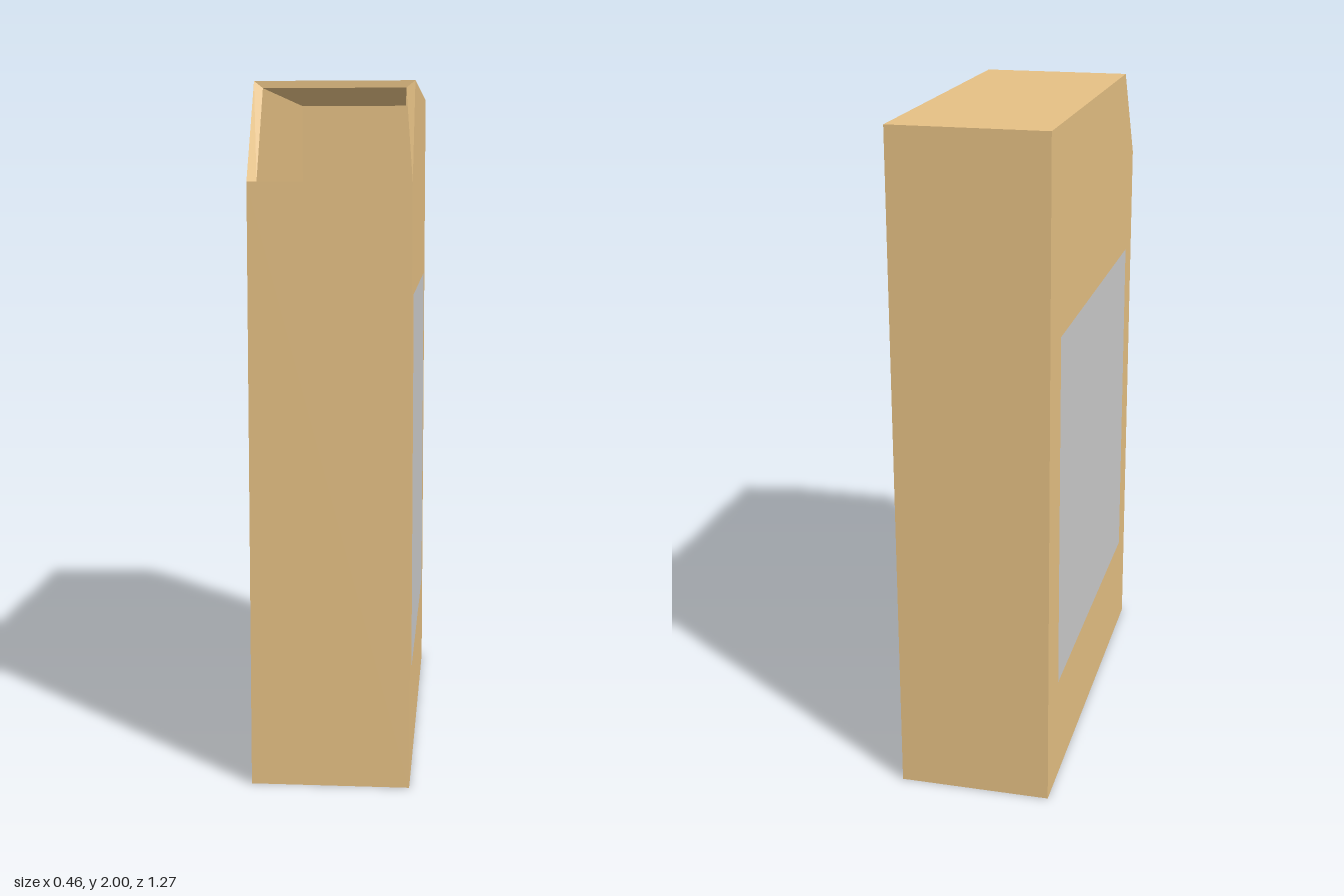
import * as THREE from 'three';

// Profiles as [z, y], from the low lip of the opening round to the high lip
const OUTER = [[0.635, 1.72], [0.635, 0], [-0.635, 0], [-0.635, 2], [0.462, 2]];
const INNER = [[0.615, 1.72], [0.615, 0.02], [-0.615, 0.02], [-0.615, 1.98], [0.462, 1.98]];
const OUTER_HALF = 0.227;
const INNER_HALF = 0.202;

const at = (x, [z, y]) => [x, y, z];

// Flat-shaded surface from a list of convex polygons
function surface(name, polygons, material) {
  const positions = [];
  for (const p of polygons) {
    for (let i = 1; i < p.length - 1; i++) positions.push(...p[0], ...p[i], ...p[i + 1]);
  }
  const geometry = new THREE.BufferGeometry();
  geometry.setAttribute('position', new THREE.Float32BufferAttribute(positions, 3));
  geometry.computeVertexNormals();
  const mesh = new THREE.Mesh(geometry, material);
  mesh.name = name;
  return mesh;
}

// Both sides plus the strip of walls between them, left open at the slanted corner
function shell(profile, half) {
  const left = profile.map((p) => at(half, p));
  const right = profile.map((p) => at(-half, p));
  const polygons = [left, [...right].reverse()];
  for (let i = 0; i < profile.length - 1; i++) {
    polygons.push([right[i], right[i + 1], left[i + 1], left[i]]);
  }
  return polygons;
}

// Four corners of the slanted opening
function lip(profile, half) {
  const low = profile[0];
  const high = profile[profile.length - 1];
  return [at(half, low), at(half, high), at(-half, high), at(-half, low)];
}

export function createModel() {
  const model = new THREE.Group();
  model.name = 'fileBox';
  const card = new THREE.MeshStandardMaterial({ color: 0xe5c084 });
  const grey = new THREE.MeshStandardMaterial({ color: 0xcccccc });

  // Hollow box: outside, inside and the rim joining them
  model.add(surface('outerShell', shell(OUTER, OUTER_HALF), card));
  const inside = shell(INNER, INNER_HALF).map((p) => p.reverse());
  model.add(surface('innerShell', inside, card));
  const outerLip = lip(OUTER, OUTER_HALF);
  const innerLip = lip(INNER, INNER_HALF);
  const rim = outerLip.map((corner, i) => {
    const next = (i + 1) % 4;
    return [corner, outerLip[next], innerLip[next], innerLip[i]];
  });
  model.add(surface('openingRim', rim, card));

  // Flat label on each side
  for (const side of [1, -1]) {
    const label = new THREE.Mesh(new THREE.PlaneGeometry(1.03, 1.085), grey);
    label.name = side > 0 ? 'leftLabel' : 'rightLabel';
    label.rotation.y = side * Math.PI / 2;
    label.position.set(side * (OUTER_HALF + 0.001), 0.865, 0.013);
    model.add(label);
  }
  return model;
}
